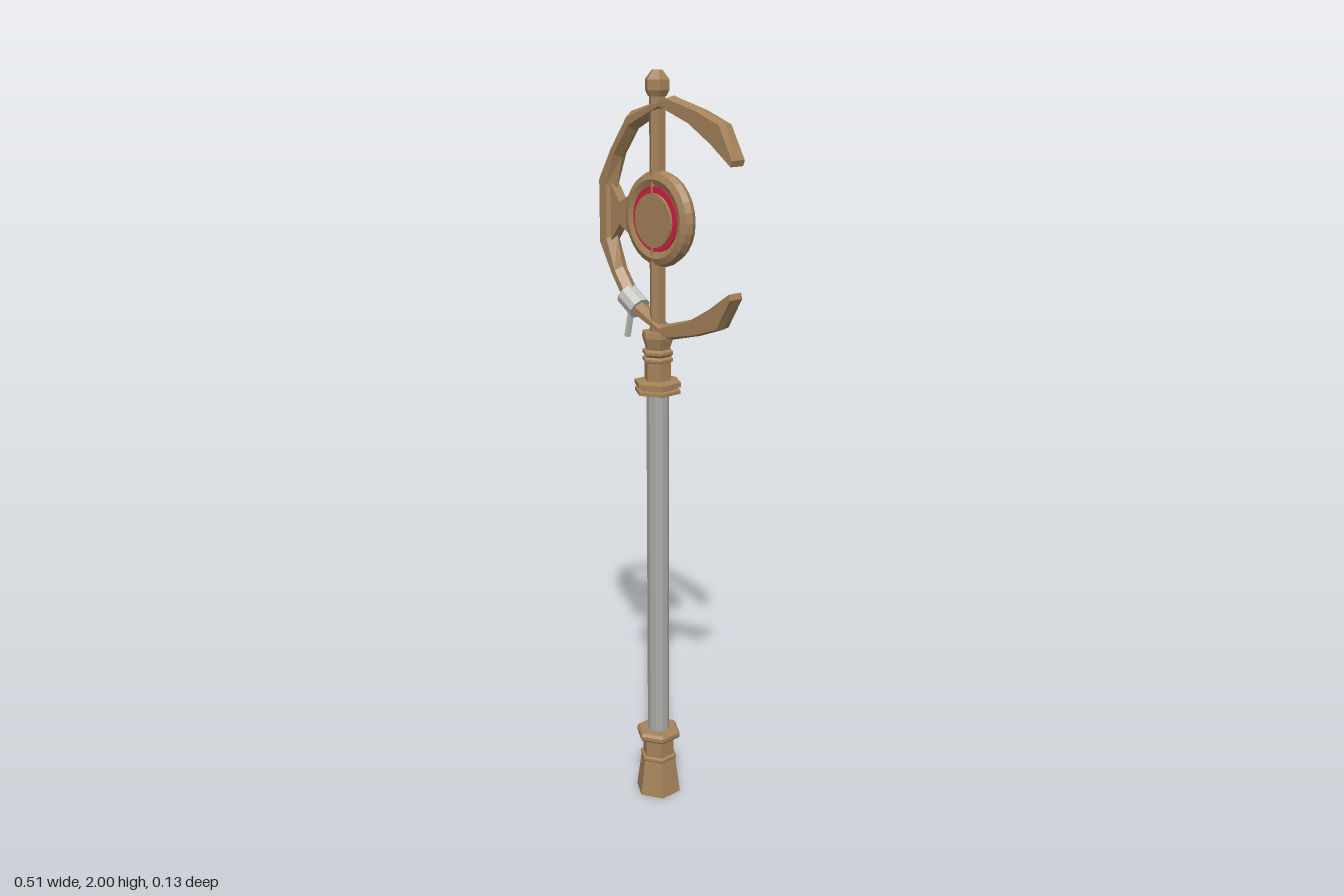
import * as THREE from 'three';

const AXIS = -0.032; // x of the staff
const RING_X = -0.022, RING_Y = 1.64;

const mat = (name, color, flat = true) => {
  const m = new THREE.MeshStandardMaterial({ color, flatShading: flat });
  m.name = name;
  return m;
};

// Loft along the crescent; each row: outer x, outer y, inner x, inner y, half depth, bevel
function crescentGeometry() {
  const half = [
    [0.255, 0.165, 0.25, 0.15, 0.021, 0.02],
    [0.21, 0.246, 0.18, 0.195, 0.021, 0.05],
    [0.13, 0.275, 0.10, 0.238, 0.021, 0.1],
    [0.03, 0.302, -0.01, 0.27, 0.022, 0.2],
    [-0.13, 0.258, -0.115, 0.21, 0.022, 0.3],
    [-0.195, 0.165, -0.17, 0.14, 0.022, 0.3],
    [-0.256, 0.09, -0.19, 0.06, 0.022, 0.3],
  ];
  // keep the outline straight between its two outer corners
  half[5][0] = -0.196; half[5][1] = 0.17;
  const lower = half.map(([a, b, c, d, h, v]) => [a, -b, c, -d, h, v]).reverse();
  const rows = [...half, ...lower];
  const pos = [], index = [];
  for (const [ox, oy, ix, iy, h, v] of rows) {
    const loop = [[0, 0], [v, h], [1 - v, h], [1, 0], [1 - v, -h], [v, -h]];
    for (const [t, z] of loop) pos.push(ox + (ix - ox) * t, RING_Y + oy + (iy - oy) * t, z);
  }
  for (let i = 0; i < rows.length - 1; i++) {
    for (let j = 0; j < 6; j++) {
      const a = i * 6 + j, b = i * 6 + (j + 1) % 6;
      index.push(a, a + 6, b, b, a + 6, b + 6);
    }
  }
  const last = (rows.length - 1) * 6;
  for (let j = 1; j < 5; j++) {
    index.push(0, j, j + 1);
    index.push(last, last + j + 1, last + j);
  }
  const g = new THREE.BufferGeometry();
  g.setAttribute('position', new THREE.Float32BufferAttribute(pos, 3));
  g.setIndex(index);
  g.computeVertexNormals();
  return g;
}

export function createModel() {
  const group = new THREE.Group();
  const bronze = mat('bronze', 0xa5835a);
  const bronzeSmooth = bronze;
  const steel = mat('steel', 0xa9aaa6);
  const cloth = mat('pale wrap', 0xc2c2be);
  const ruby = mat('ruby', 0xcf1f42);

  const add = (name, geo, material, x = 0, y = 0, z = 0) => {
    const m = new THREE.Mesh(geo, material);
    m.name = name;
    m.position.set(x, y, z);
    group.add(m);
    return m;
  };
  // Six-sided turned part on the staff axis, profile given as [radius, y]
  const hex = (name, profile) => add(name,
    new THREE.LatheGeometry(profile.map(([r, y]) => new THREE.Vector2(r, y)), 6), bronze, AXIS);

  // Staff
  hex('foot', [[0, 0], [0.065, 0], [0.051, 0.105], [0.053, 0.108], [0.053, 0.115], [0.046, 0.118],
    [0.046, 0.165], [0.06, 0.172], [0.064, 0.178], [0.064, 0.188], [0.058, 0.196], [0, 0.196]]);
  add('shaft', new THREE.CylinderGeometry(0.03, 0.03, 1.02, 10), steel, AXIS, 0.69);
  hex('collar', [[0, 1.187], [0.063, 1.187], [0.063, 1.196], [0.05, 1.197], [0.05, 1.204], [0.064, 1.205],
    [0.064, 1.217], [0.036, 1.221], [0.036, 1.27], [0.042, 1.273], [0.042, 1.28], [0.036, 1.285],
    [0.042, 1.292], [0.042, 1.299], [0.033, 1.304], [0.043, 1.335], [0.041, 1.35], [0, 1.35]]);
  hex('spine', [[0.021, 1.34], [0.021, 1.95]]);
  hex('finial', [[0, 1.938], [0.024, 1.938], [0.032, 1.953], [0.032, 1.978], [0.014, 2], [0, 2]]);

  // Crescent and the spur joining it to the ring
  add('crescent', crescentGeometry(), bronze);
  const s = new THREE.Shape();
  [[-0.2, 0.075], [-0.165, 0.028], [-0.125, 0.05], [-0.105, 0.05],
    [-0.105, -0.05], [-0.125, -0.05], [-0.165, -0.028], [-0.2, -0.075]]
    .forEach(([x, y], i) => (i ? s.lineTo(x, y) : s.moveTo(x, y)));
  add('spur', new THREE.ExtrudeGeometry(s, { depth: 0.028, bevelEnabled: false }), bronze, 0, RING_Y, -0.014);

  // Ring, front plate and gem
  add('ring', new THREE.TorusGeometry(0.099, 0.0225, 8, 28), bronzeSmooth, RING_X, RING_Y);
  add('frontPlate', new THREE.CylinderGeometry(0.068, 0.068, 0.008, 24), bronze, RING_X, RING_Y - 0.003, 0.022)
    .rotation.x = Math.PI / 2;
  add('gemBacking', new THREE.CylinderGeometry(0.082, 0.082, 0.018, 24), ruby, RING_X, RING_Y, 0.01)
    .rotation.x = Math.PI / 2;
  const gem = add('gem', new THREE.SphereGeometry(1, 10, 3, 0, Math.PI * 2, 0, Math.PI / 2),
    ruby, RING_X, RING_Y, -0.002);
  gem.scale.set(0.08, 0.045, 0.08);
  gem.rotation.x = -Math.PI / 2;

  // Wrap on the lower crescent with its loose end
  const wrap = add('wrap', new THREE.CylinderGeometry(0.031, 0.031, 0.06, 10), cloth, -0.128, 1.413);
  wrap.rotation.z = Math.PI / 2 - 0.55;
  const tail = add('wrapTail', new THREE.BoxGeometry(0.01, 0.075, 0.014), cloth, -0.131, 1.356, 0.012);
  tail.rotation.z = -0.22;

  return group;
}
